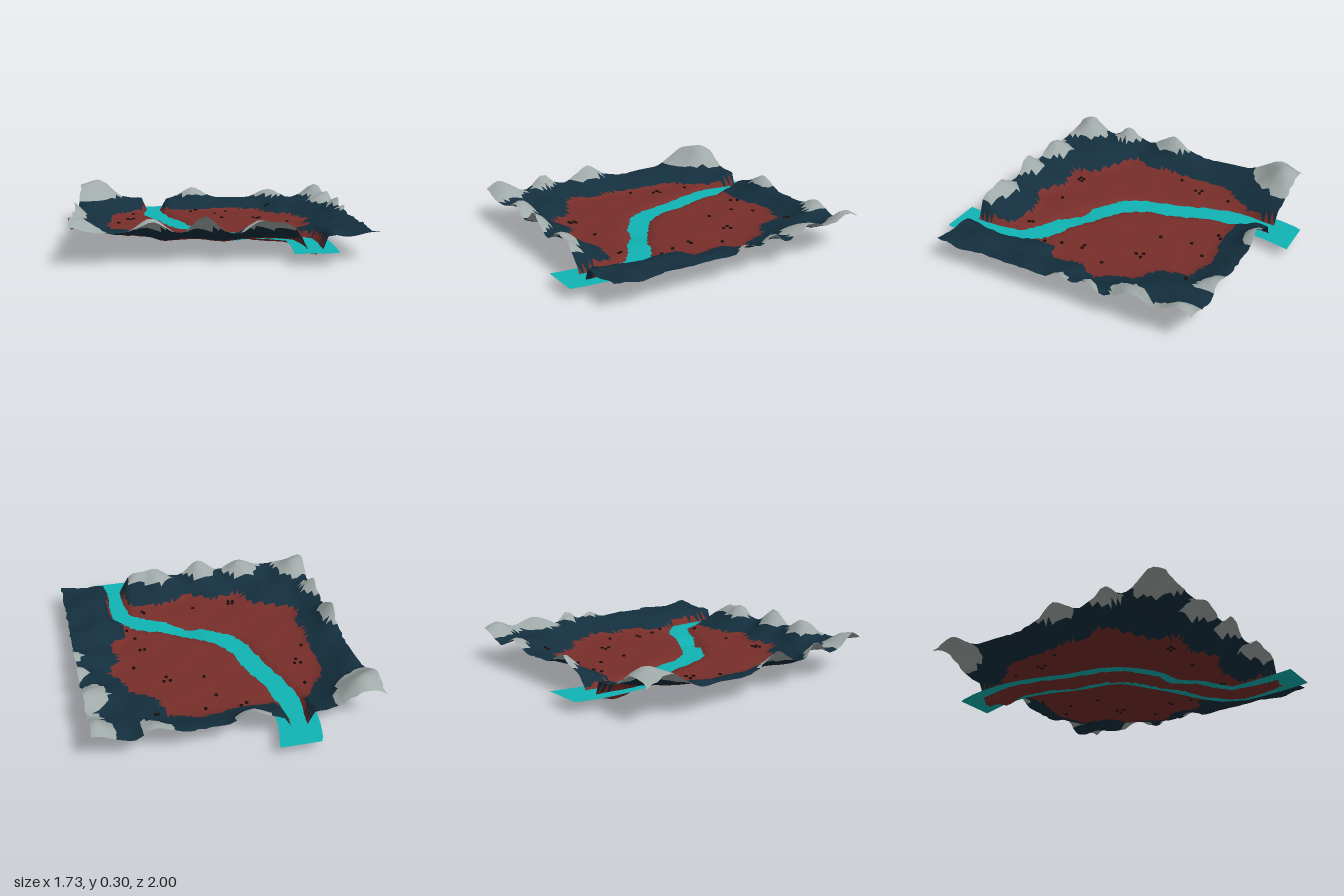
import * as THREE from 'three';

const CELLS = 48;
const WATER = 0.087;

// Plan outlines as [x, z]
const basin = [
  [-0.43, -0.62], [-0.25, -0.62], [-0.05, -0.62], [0.2, -0.66], [0.38, -0.6], [0.42, -0.42],
  [0.55, -0.33], [0.6, -0.2], [0.66, -0.1], [0.58, 0], [0.6, 0.18], [0.5, 0.25],
  [0.5, 0.42], [0.45, 0.64], [0.2, 0.6], [0, 0.68], [-0.15, 0.6], [-0.35, 0.64],
  [-0.42, 0.5], [-0.72, 0.36], [-0.65, 0.2], [-0.65, -0.3], [-0.6, -0.45], [-0.5, -0.6],
];
const course = [
  [-0.31, -1], [-0.35, -0.84], [-0.36, -0.6], [-0.32, -0.4], [-0.25, -0.2], [-0.21, 0], [-0.14, 0.12],
  [0.02, 0.23], [0.2, 0.34], [0.36, 0.42], [0.49, 0.53], [0.5, 0.7], [0.49, 0.87], [0.475, 1],
];
// Peaks: x, z, radius x, radius z, added height
const peaks = [
  [-0.8, -0.75, 0.17, 0.18, 0.14], [-0.88, 0.15, 0.07, 0.11, 0.11], [-0.85, 0.47, 0.11, 0.08, 0.08],
  [-0.84, 0.8, 0.13, 0.11, 0.11], [-0.42, 0.84, 0.12, 0.11, 0.08], [-0.14, 0.87, 0.09, 0.1, 0.1],
  [0.18, 0.86, 0.09, 0.1, 0.09], [0.33, 0.86, 0.07, 0.08, 0.06], [-0.04, -0.83, 0.1, 0.08, 0.07],
  [0.5, -0.8, 0.1, 0.08, 0.06], [0.83, -0.75, 0.1, 0.13, 0.08], [0.84, -0.45, 0.1, 0.13, 0.08],
  [0.85, -0.19, 0.06, 0.05, 0.06], [0.85, 0.01, 0.07, 0.07, 0.06],
];
const stones = [
  [-0.5, -0.47], [-0.54, -0.26], [-0.5, -0.26], [-0.52, -0.22], [-0.6, -0.08], [-0.1, -0.58], [-0.06, -0.61],
  [0.15, -0.58], [0.06, -0.47], [0.09, -0.27], [0.3, -0.26], [0.34, -0.26], [0.32, -0.22], [0.5, -0.08],
  [0.4, 0.1], [0.43, 0.1], [0.44, 0.24], [0.48, 0.34], [0.33, 0.53], [0.34, 0.55], [-0.29, 0.52],
  [-0.26, 0.52], [-0.3, 0.55], [-0.27, 0.55], [-0.01, 0.52], [0.44, -0.61], [0.46, -0.62],
];

const bell = (x, z, cx, cz, rx, rz) => Math.exp(-(((x - cx) / rx) ** 2) - ((z - cz) / rz) ** 2);

function hash(a, b) {
  const s = Math.sin(a * 127.1 + b * 311.7) * 43758.5453;
  return (s - Math.floor(s)) * 2 - 1;
}

// Shortest distance from (x, z) to a line of points
function distance(x, z, points, closed) {
  let best = Infinity;
  for (let i = closed ? 0 : 1; i < points.length; i++) {
    const [ax, az] = points[(i + points.length - 1) % points.length];
    const [bx, bz] = points[i];
    const dx = bx - ax, dz = bz - az;
    const t = THREE.MathUtils.clamp(((x - ax) * dx + (z - az) * dz) / (dx * dx + dz * dz), 0, 1);
    best = Math.min(best, Math.hypot(x - ax - t * dx, z - az - t * dz));
  }
  return best;
}

function inside(x, z, points) {
  let hit = false;
  points.forEach(([bx, bz], i) => {
    const [ax, az] = points[(i + points.length - 1) % points.length];
    if ((az > z) !== (bz > z) && x < ax + ((z - az) / (bz - az)) * (bx - ax)) hit = !hit;
  });
  return hit;
}

// Flat basin, rising rim, peaks on the rim and a carved river bed
function height(x, z) {
  const out = distance(x, z, basin, true) * (inside(x, z, basin) ? -1 : 1);
  const ripple = Math.sin(17 * x + 3 * z) * Math.sin(15 * z - 4 * x + 1);
  let h = THREE.MathUtils.clamp(0.112 + out * 0.36, 0.102, 0.17);
  h += ripple * (out > 0 ? 0.003 + 0.012 * Math.min(1, out * 5) : 0.003);
  for (const [cx, cz, rx, rz, top] of peaks) h += top * bell(x, z, cx, cz, rx, rz) * (1 + 0.15 * ripple);
  const bed = 0.057 - 0.045 * bell(x, z, -0.35, -0.68, 0.12, 0.08) + 0.006 * ripple;
  return THREE.MathUtils.lerp(bed, h, THREE.MathUtils.smoothstep(distance(x, z, course, false), 0.028, 0.088));
}

const material = (color) =>
  new THREE.MeshStandardMaterial({ color, side: THREE.DoubleSide });

function addMesh(group, name, geometry, color) {
  const mesh = new THREE.Mesh(geometry, material(color));
  mesh.name = name;
  group.add(mesh);
  return mesh;
}

// One height grid, shared by three meshes split by altitude
function addTerrain(group) {
  const row = CELLS + 1;
  const positions = [];
  for (let j = 0; j < row; j++) {
    for (let i = 0; i < row; i++) {
      const x = -0.865 + (1.72 * i) / CELLS + hash(i, j) * 0.007;
      const z = -0.84 + (1.71 * j) / CELLS + hash(j + 70, i) * 0.007;
      positions.push(x, height(x, z) + hash(i + 9, j + 31) * 0.002, z);
    }
  }
  const zones = { basinFloor: [], rimSlopes: [], rimPeaks: [] };
  const all = [];
  const face = (...corners) => {
    const mean = corners.reduce((sum, c) => sum + positions[c * 3 + 1], 0) / 3;
    zones[mean < 0.114 ? 'basinFloor' : mean < 0.192 ? 'rimSlopes' : 'rimPeaks'].push(...corners);
    all.push(...corners);
  };
  for (let j = 0; j < CELLS; j++) {
    for (let i = 0; i < CELLS; i++) {
      const a = j * row + i;
      face(a, a + row, a + 1);
      face(a + 1, a + row, a + row + 1);
    }
  }
  const whole = new THREE.BufferGeometry();
  whole.setAttribute('position', new THREE.Float32BufferAttribute(positions, 3));
  whole.setIndex(all);
  whole.computeVertexNormals();
  const colors = { basinFloor: 0x782e2a, rimSlopes: 0x142f3e, rimPeaks: 0xa0aaa8 };
  for (const [name, index] of Object.entries(zones)) {
    const geometry = whole.clone();
    geometry.setIndex(index);
    addMesh(group, name, geometry, colors[name]);
  }
}

// Wide water sheet that shows only where the bed lies below it
function addRiver(group) {
  const curve = new THREE.CatmullRomCurve3(course.map(([x, z]) => new THREE.Vector3(x, WATER, z)));
  const steps = 28;
  const positions = [], index = [];
  for (let i = 0; i <= steps; i++) {
    const p = curve.getPointAt(i / steps);
    const t = curve.getTangentAt(i / steps);
    const end = i === 0 || i === steps;
    for (const side of [-1, 1]) {
      const x = p.x + side * 0.125 * (end ? 1 : t.z);
      const z = p.z - side * 0.125 * (end ? 0 : t.x);
      positions.push(x, WATER - 0.057 * bell(x, z, 0.02, 0.45, 0.09, 0.08), z);
    }
    if (i < steps) {
      const a = i * 2;
      index.push(a, a + 2, a + 1, a + 1, a + 2, a + 3);
    }
  }
  const geometry = new THREE.BufferGeometry();
  geometry.setAttribute('position', new THREE.Float32BufferAttribute(positions, 3));
  geometry.setIndex(index);
  geometry.computeVertexNormals();
  addMesh(group, 'river', geometry, 0x10b4b4);
}

export function createModel() {
  const model = new THREE.Group();
  model.name = 'riverValley';
  addTerrain(model);
  addRiver(model);

  // Small dark stones scattered on the basin floor
  const scatter = new THREE.Group();
  scatter.name = 'stones';
  const stone = new THREE.CylinderGeometry(0.011, 0.011, 0.012, 8);
  for (const [x, z] of stones) {
    addMesh(scatter, 'stone', stone, 0x1a0d0c).position.set(x, height(x, z) + 0.001, z);
  }
  model.add(scatter);
  return model;
}
